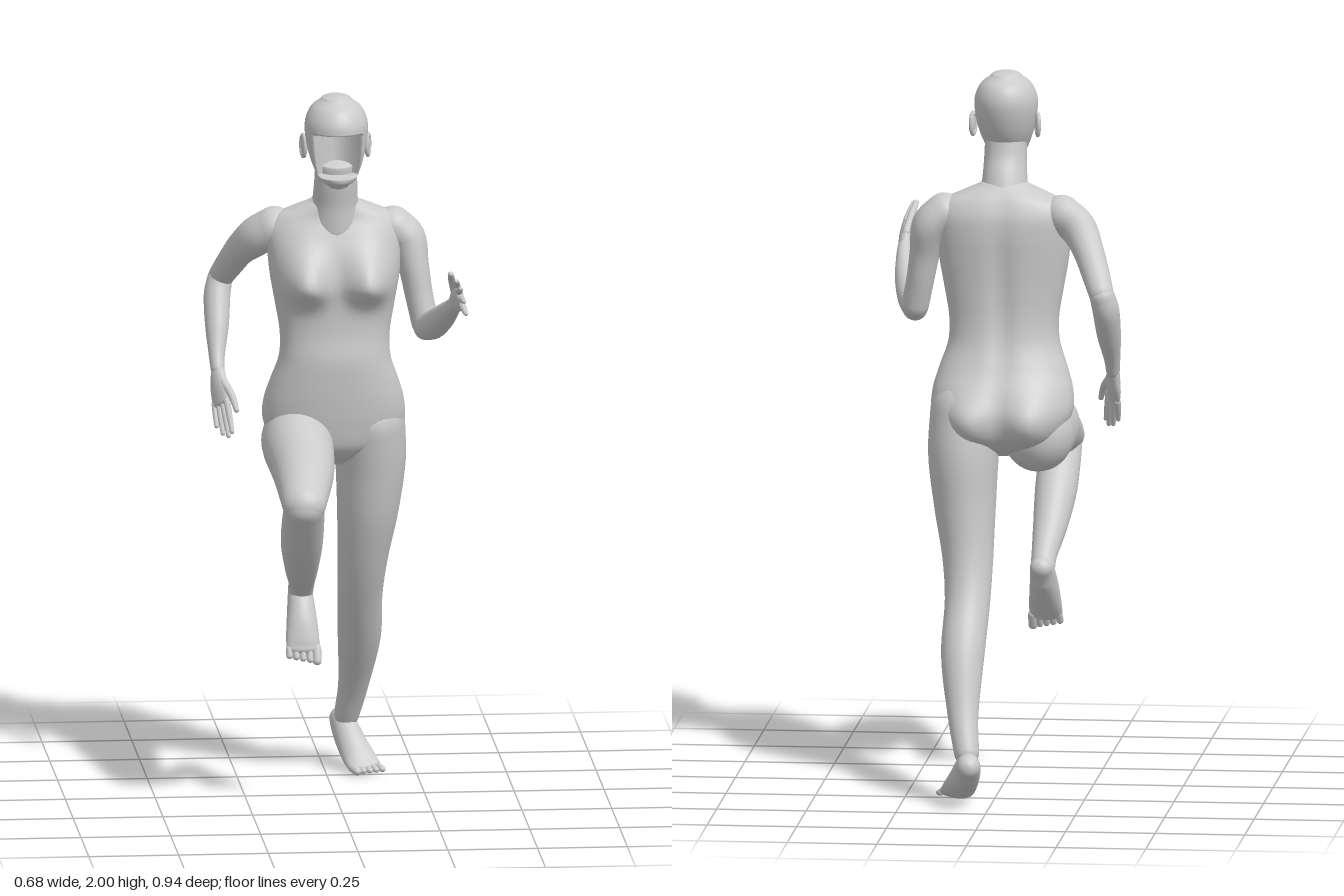
import * as THREE from 'three';

const material = new THREE.MeshStandardMaterial({ color: 0xcccccc });
const V = (a) => new THREE.Vector3(a[0], a[1], a[2]);
const bell = (v, c, w) => Math.exp(-(((v - c) / w) ** 2));

// Smooth closed skin through stations [x, y, z, half width, half depth], with domed ends.
function loft(name, stations, opt = {}) {
  const { ref = [1, 0, 0], flat = false, power = 1, radial = 28, steps = 6, cap, deform } = opt;
  const path = new THREE.CatmullRomCurve3(stations.map(V), false, 'catmullrom', 0.5);
  const size = new THREE.CatmullRomCurve3(
    stations.map((s) => new THREE.Vector3(s[3], s[4], 0)), false, 'catmullrom', 0.5);
  const n = (stations.length - 1) * steps;
  const rings = [];
  const addRing = (t, scale, push) => {
    const r = size.getPoint(t);
    const dir = flat ? new THREE.Vector3(0, 1, 0) : path.getTangent(t);
    const u = V(ref).addScaledVector(dir, -V(ref).dot(dir)).normalize();
    const v = dir.clone().cross(u);
    const length = cap ?? Math.min(r.x, r.y);
    rings.push({ c: path.getPoint(t).addScaledVector(dir, push * length), u, v, a: r.x * scale, b: r.y * scale });
  };
  const dome = 6;
  for (let k = dome; k > 0; k--) {
    const a = (k / dome) * Math.PI / 2;
    addRing(0, Math.cos(a), -Math.sin(a));
  }
  for (let i = 0; i <= n; i++) addRing(i / n, 1, 0);
  for (let k = 1; k <= dome; k++) {
    const a = (k / dome) * Math.PI / 2;
    addRing(1, Math.cos(a), Math.sin(a));
  }
  const pos = [], index = [];
  const bend = (w) => Math.sign(w) * Math.abs(w) ** power;
  rings.forEach((ring, i) => {
    for (let j = 0; j < radial; j++) {
      const a = (j / radial) * Math.PI * 2;
      const p = ring.c.clone()
        .addScaledVector(ring.u, ring.a * bend(Math.cos(a)))
        .addScaledVector(ring.v, ring.b * bend(Math.sin(a)));
      if (deform) deform(p);
      pos.push(p.x, p.y, p.z);
      if (i === rings.length - 1) continue;
      const p0 = i * radial + j, p1 = i * radial + (j + 1) % radial;
      index.push(p0, p1, p0 + radial, p1, p1 + radial, p0 + radial);
    }
  });
  const geometry = new THREE.BufferGeometry();
  geometry.setAttribute('position', new THREE.Float32BufferAttribute(pos, 3));
  geometry.setIndex(index);
  geometry.computeVertexNormals();
  const mesh = new THREE.Mesh(geometry, material);
  mesh.name = name;
  return mesh;
}

// Level sections [y, half width, front z, back z].
const stack = (name, rows, opt) => loft(name,
  rows.map(([y, w, f, b]) => [0, y, (f + b) / 2, w, (f - b) / 2]), { flat: true, ...opt });

function makeTorso() {
  const deform = (p) => {
    const x = Math.abs(p.x), y = p.y;
    const front = THREE.MathUtils.smoothstep(p.z, 0, 0.07);
    const back = THREE.MathUtils.smoothstep(-p.z, 0.03, 0.09);
    p.z += front * 0.075 * bell(x, 0.09, 0.06) * bell(y, 1.465, y < 1.465 ? 0.05 : 0.085);
    p.z -= back * 0.05 * bell(x, 0.09, 0.07) * bell(y, 1.03, 0.085);
    p.z += back * 0.014 * bell(x, 0, 0.03) * bell(y, 1.38, 0.25);
  };
  return stack('torso', [
    [0.945, 0.05, 0.01, -0.09], [0.965, 0.11, 0.04, -0.125], [1.0, 0.165, 0.07, -0.155],
    [1.06, 0.196, 0.085, -0.17], [1.12, 0.195, 0.095, -0.16], [1.18, 0.178, 0.102, -0.135],
    [1.25, 0.155, 0.107, -0.11], [1.32, 0.153, 0.1, -0.1], [1.4, 0.166, 0.1, -0.1],
    [1.48, 0.18, 0.1, -0.105], [1.55, 0.187, 0.093, -0.11], [1.605, 0.19, 0.078, -0.108],
    [1.645, 0.17, 0.063, -0.095], [1.67, 0.12, 0.06, -0.08], [1.69, 0.07, 0.06, -0.06],
  ], { power: 0.88, radial: 72, cap: 0.012, deform });
}

function makeHead() {
  const head = new THREE.Group();
  head.name = 'head';
  // The face is a hollow with a crisp brow edge and chin edge.
  const deform = (p) => {
    if (p.y < 1.782 || p.y > 1.9 || p.z < 0.06) return;
    const hollow = 0.118 - 0.055 * Math.max(0, 1 - (p.x / 0.066) ** 2);
    p.z = Math.min(p.z, hollow);
  };
  head.add(stack('skull', [
    [1.757, 0.03, 0.145, 0.06], [1.77, 0.05, 0.161, 0.02], [1.8, 0.065, 0.163, -0.01],
    [1.84, 0.078, 0.161, -0.035], [1.89, 0.087, 0.162, -0.053], [1.93, 0.086, 0.159, -0.057],
    [1.965, 0.07, 0.138, -0.043], [1.988, 0.042, 0.102, -0.008],
  ], { radial: 72, steps: 10, cap: 0.012, deform }));
  head.add(loft('neck', [
    [0, 1.62, 0, 0.075, 0.08], [0, 1.69, 0.015, 0.064, 0.07],
    [0, 1.75, 0.034, 0.06, 0.062], [0, 1.81, 0.045, 0.058, 0.06],
  ], { cap: 0.01 }));
  for (const s of [1, -1]) {
    const ear = new THREE.Group();
    ear.name = s > 0 ? 'leftEar' : 'rightEar';
    const rim = new THREE.Mesh(new THREE.TorusGeometry(0.02, 0.006, 10, 24), material);
    const bowl = new THREE.Mesh(new THREE.SphereGeometry(0.019, 16, 10), material);
    bowl.scale.z = 0.3;
    ear.add(rim, bowl);
    ear.scale.set(0.8, 1.4, 1);
    ear.position.set(s * 0.09, 1.853, 0.032);
    ear.rotation.set(0, s * (Math.PI / 2 - 0.3), 0);
    head.add(ear);
  }
  return head;
}

// Foot stations run from heel to ball; toes go on from there, big toe on the inside.
function makeFoot(name, side, stations, toeDir) {
  const foot = new THREE.Group();
  foot.name = name;
  foot.add(loft('sole', stations));
  const ball = V(stations.at(-1)), d = V(toeDir);
  for (let i = 0; i < 5; i++) {
    const r = i === 0 ? 0.0125 : 0.0095;
    const a = ball.clone();
    a.x += side * (i - 2) * 0.019;
    const b = a.clone().addScaledVector(d, 1 - i * 0.11);
    const m = a.clone().lerp(b, 0.5);
    foot.add(loft('toe', [[...a, r, r], [...m, r, r], [...b, r, r * 0.9]], { radial: 10, steps: 3 }));
  }
  return foot;
}

// Palm between wrist and knuckles, fingers fanned along the across vector, then the thumb.
function makeHand(name, wrist, knuckles, across, tips, thumbTip) {
  const hand = new THREE.Group();
  hand.name = name;
  const w = V(wrist), k = V(knuckles), side = V(across).normalize();
  const mid = w.clone().lerp(k, 0.55);
  hand.add(loft('palm', [[...w, 0.024, 0.017], [...mid, 0.036, 0.016], [...k, 0.036, 0.011]],
    { ref: across, radial: 20 }));
  const finger = (part, a, b, r, bow) => {
    const m = a.clone().lerp(b, 0.5).addScaledVector(side, bow);
    hand.add(loft(part, [[...a, r * 1.1, r * 1.1], [...m, r, r], [...b, r * 0.75, r * 0.75]],
      { ref: across, radial: 10, steps: 4 }));
  };
  tips.forEach((tip, i) =>
    finger('finger', k.clone().addScaledVector(side, 0.029 - i * 0.0193), V(tip), 0.0088, 0));
  finger('thumb', w.clone().lerp(k, 0.4).addScaledVector(side, 0.025), V(thumbTip), 0.0105, 0.008);
  return hand;
}

export function createModel() {
  const model = new THREE.Group();
  model.name = 'runningFigure';
  model.add(makeTorso(), makeHead());

  // Left leg, pushing off behind
  model.add(loft('leftLeg', [
    [0.1, 1.06, -0.05, 0.1, 0.125], [0.106, 0.94, -0.072, 0.098, 0.122], [0.1, 0.8, -0.088, 0.086, 0.106],
    [0.089, 0.66, -0.12, 0.071, 0.084], [0.085, 0.54, -0.168, 0.063, 0.07], [0.09, 0.4, -0.247, 0.06, 0.065],
    [0.081, 0.25, -0.322, 0.043, 0.044], [0.066, 0.15, -0.37, 0.035, 0.038],
  ], { radial: 36 }));
  model.add(makeFoot('leftFoot', 1, [
    [0.055, 0.122, -0.435, 0.032, 0.034], [0.062, 0.105, -0.385, 0.037, 0.048],
    [0.077, 0.071, -0.335, 0.042, 0.042], [0.096, 0.036, -0.295, 0.046, 0.026],
    [0.11, 0.019, -0.268, 0.045, 0.015],
  ], [0.012, -0.006, 0.03]));

  // Right leg, knee raised in front
  model.add(loft('rightThigh', [
    [-0.1, 1.0, -0.05, 0.1, 0.11], [-0.106, 1.0, 0.06, 0.098, 0.102], [-0.105, 0.968, 0.2, 0.087, 0.086],
    [-0.114, 0.937, 0.33, 0.072, 0.068], [-0.12, 0.915, 0.4, 0.062, 0.055],
  ], { radial: 36 }));
  model.add(loft('rightShin', [
    [-0.12, 0.905, 0.405, 0.056, 0.05], [-0.118, 0.85, 0.345, 0.059, 0.06], [-0.115, 0.775, 0.27, 0.058, 0.062],
    [-0.108, 0.69, 0.18, 0.047, 0.05], [-0.101, 0.63, 0.105, 0.036, 0.038], [-0.1, 0.595, 0.07, 0.034, 0.035],
  ]));
  model.add(makeFoot('rightFoot', -1, [
    [-0.1, 0.603, 0.03, 0.032, 0.03], [-0.101, 0.575, 0.068, 0.036, 0.046], [-0.101, 0.525, 0.108, 0.042, 0.04],
    [-0.101, 0.478, 0.136, 0.046, 0.026], [-0.101, 0.45, 0.15, 0.045, 0.015],
  ], [0, -0.033, 0.015]));

  // Left arm, bent forward
  model.add(loft('leftUpperArm', [
    [0.165, 1.61, -0.02, 0.055, 0.06], [0.204, 1.572, -0.02, 0.052, 0.062], [0.22, 1.5, -0.005, 0.043, 0.054],
    [0.234, 1.42, 0.005, 0.039, 0.047], [0.25, 1.342, 0.02, 0.038, 0.042],
  ]));
  model.add(loft('leftForearm', [
    [0.252, 1.332, 0.03, 0.036, 0.038], [0.27, 1.352, 0.09, 0.038, 0.041], [0.29, 1.392, 0.17, 0.033, 0.035],
    [0.305, 1.432, 0.25, 0.023, 0.026], [0.309, 1.452, 0.29, 0.019, 0.024],
  ]));
  model.add(makeHand('leftHand', [0.309, 1.455, 0.298], [0.316, 1.493, 0.37], [-0.2, 0.85, -0.45],
    [[0.3, 1.55, 0.45], [0.31, 1.532, 0.465], [0.32, 1.495, 0.46], [0.328, 1.455, 0.435]],
    [0.288, 1.56, 0.4]));

  // Right arm, swung back
  model.add(loft('rightUpperArm', [
    [-0.165, 1.61, -0.03, 0.055, 0.06], [-0.213, 1.578, -0.06, 0.05, 0.058], [-0.248, 1.53, -0.13, 0.043, 0.048],
    [-0.275, 1.475, -0.19, 0.039, 0.041], [-0.295, 1.43, -0.238, 0.035, 0.036],
  ]));
  model.add(loft('rightForearm', [
    [-0.299, 1.42, -0.24, 0.035, 0.037], [-0.308, 1.375, -0.225, 0.037, 0.041], [-0.312, 1.3, -0.183, 0.033, 0.036],
    [-0.316, 1.23, -0.142, 0.023, 0.026], [-0.316, 1.19, -0.118, 0.019, 0.024],
  ]));
  model.add(makeHand('rightHand', [-0.316, 1.183, -0.112], [-0.311, 1.105, -0.065], [0.45, 0.3, 0.7],
    [[-0.285, 1.035, -0.008], [-0.294, 1.022, -0.018], [-0.308, 1.025, -0.035], [-0.324, 1.042, -0.055]],
    [-0.272, 1.095, -0.015]));
  return model;
}
